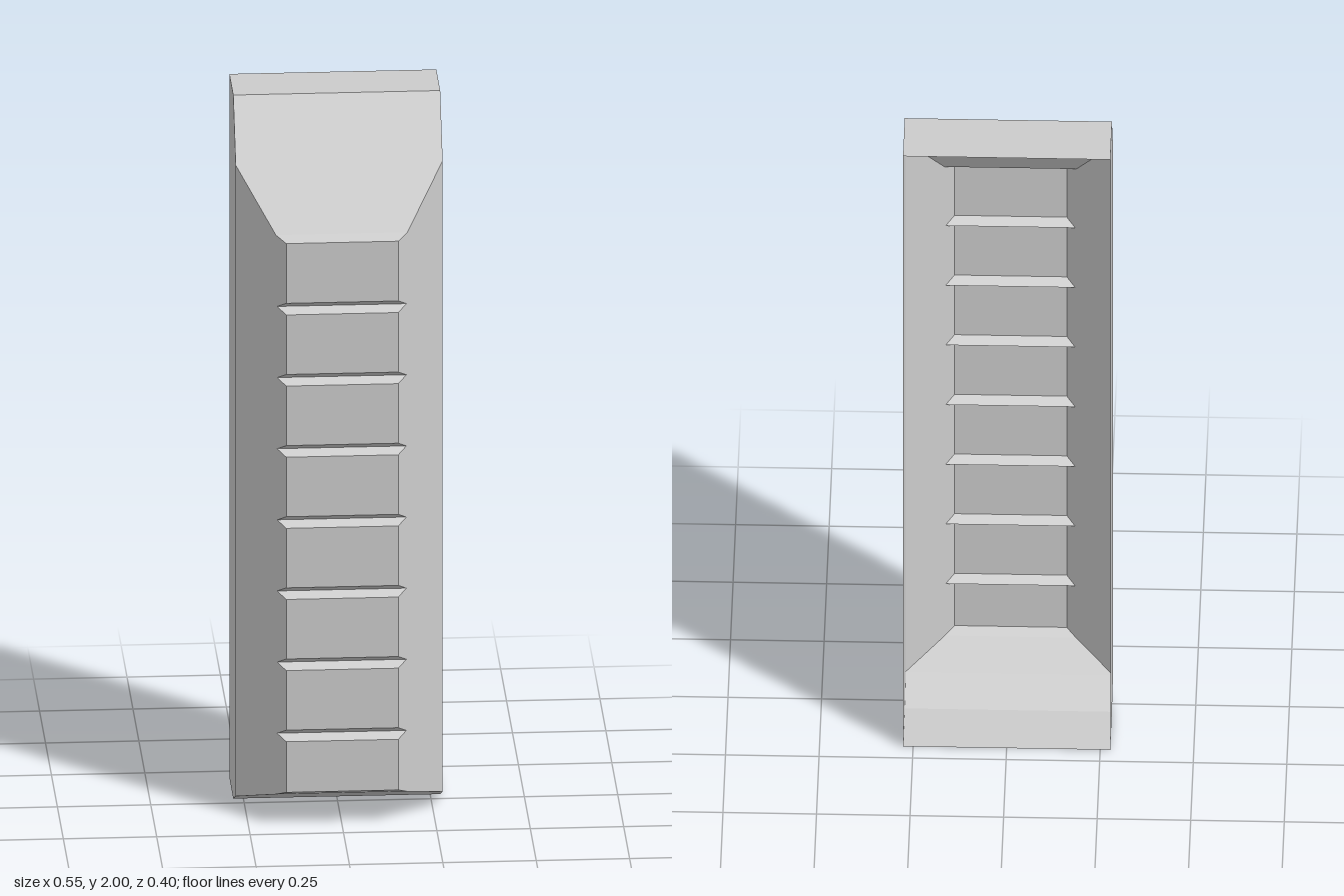
import * as THREE from 'three';

const HALF_WIDTH = 0.277, BACK = -0.2, SHOULDER = 0.068, FRONT = 0.2, FRONT_HALF = 0.15;

// Side outline from bottom to top: [height, depth of the front surface]
function sideOutline() {
  const rows = [[0, BACK], [0, -0.035], [0.044, SHOULDER], [0.086, 0.174], [0.1, FRONT]];
  // Seven V-shaped grooves
  for (let i = 0; i < 7; i++) {
    const y = 0.26 + i * 0.2022;
    rows.push([y - 0.016, FRONT], [y, 0.176], [y + 0.017, FRONT]);
  }
  rows.push([1.66, FRONT], [1.675, 0.173], [1.838, SHOULDER], [2, -0.035], [2, BACK]);
  return rows;
}

// Cross-section at one height: side wall, chamfer and front, cut off at depth z
function crossSection([y, z]) {
  const t = Math.max(0, (z - SHOULDER) / (FRONT - SHOULDER));
  const x = THREE.MathUtils.lerp(HALF_WIDTH, FRONT_HALF, t);
  const wall = Math.min(z, SHOULDER);
  const half = [[HALF_WIDTH, BACK], [HALF_WIDTH, wall], [x, z]];
  return [
    ...half.map(([px, pz]) => new THREE.Vector3(-px, y, pz)),
    ...half.reverse().map(([px, pz]) => new THREE.Vector3(px, y, pz)),
  ];
}

function loft(sections) {
  const positions = [];
  const triangle = (a, b, c) => {
    // Leave out triangles that collapse where sections meet
    if (new THREE.Triangle(a, b, c).getArea() < 1e-7) return;
    for (const p of [a, b, c]) positions.push(p.x, p.y, p.z);
  };
  for (let i = 0; i < sections.length - 1; i++) {
    const low = sections[i], high = sections[i + 1];
    for (let j = 0; j < low.length - 1; j++) {
      triangle(low[j], low[j + 1], high[j + 1]);
      triangle(low[j], high[j + 1], high[j]);
    }
  }
  const geometry = new THREE.BufferGeometry();
  geometry.setAttribute('position', new THREE.Float32BufferAttribute(positions, 3));
  geometry.computeVertexNormals();
  return geometry;
}

export function createModel() {
  const group = new THREE.Group();
  group.name = 'groovedPanel';

  // Thin shell, open at the back
  const material = new THREE.MeshStandardMaterial({
    color: 0xcccccc, flatShading: true, side: THREE.DoubleSide,
  });
  const shell = new THREE.Mesh(loft(sideOutline().map(crossSection)), material);
  shell.name = 'groovedShell';
  group.add(shell);
  return group;
}
